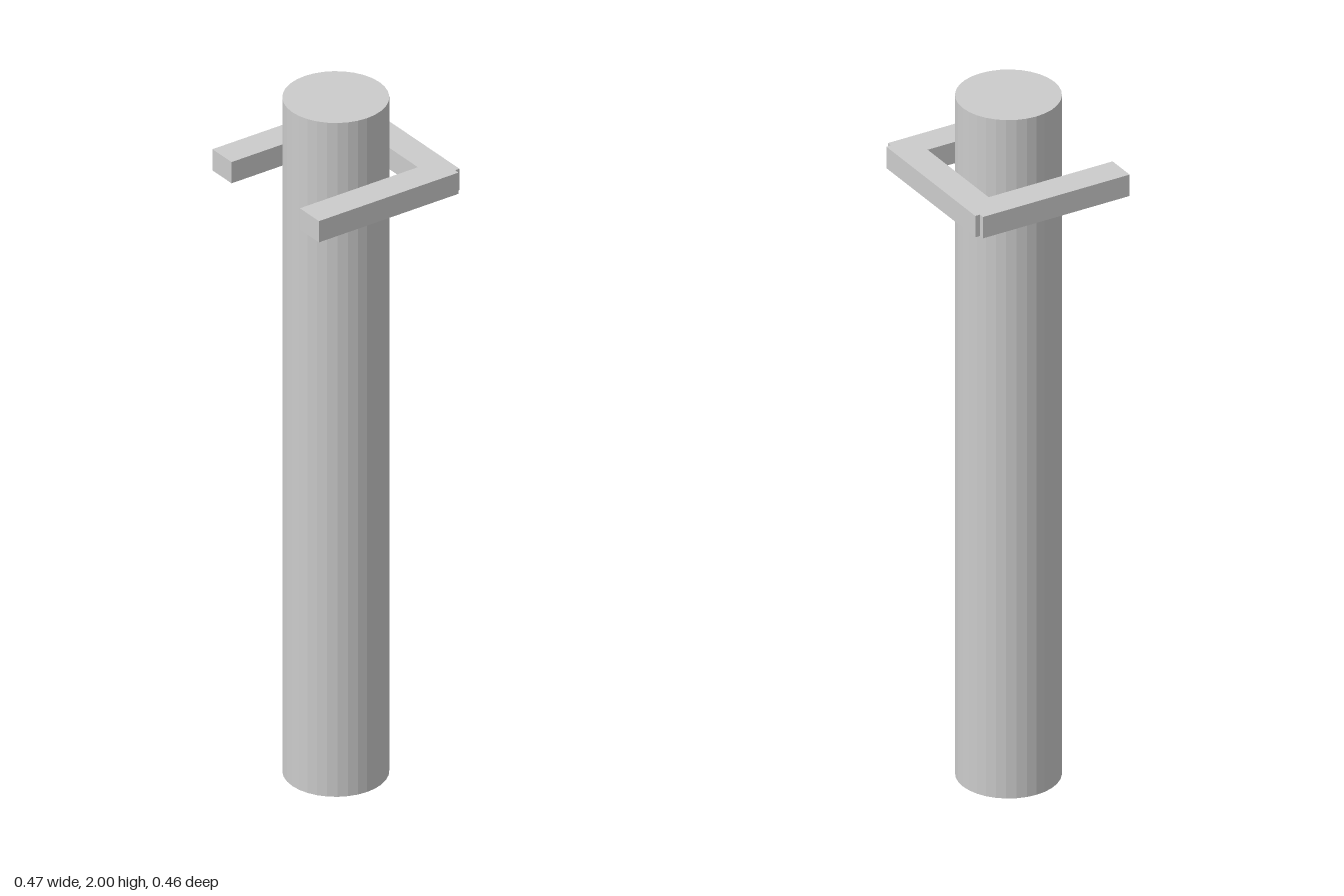
import * as THREE from 'three';

export function createModel() {
  const model = new THREE.Group();
  const material = new THREE.MeshStandardMaterial({ color: 0xcccccc, flatShading: true });

  // Tall round post
  const post = new THREE.Mesh(new THREE.CylinderGeometry(0.139, 0.139, 2, 32), material);
  post.name = 'post';
  post.position.set(0, 1, 0.005);
  model.add(post);

  // U-shaped bracket, open to the front: half outline (x, z), mirrored across x
  const half = [
    [0.152, -0.148], [0.152, 0.229], [0.237, 0.229],
    [0.237, -0.217], [0.222, -0.217], [0.222, -0.231],
  ];
  const outline = [...half, ...half.map(([x, z]) => [-x, z]).reverse()];
  const shape = new THREE.Shape(outline.map(([x, z]) => new THREE.Vector2(x, z)));
  const geometry = new THREE.ExtrudeGeometry(shape, { depth: 0.063, bevelEnabled: false });
  geometry.rotateX(Math.PI / 2); // lay flat, thickness hanging downwards
  const bracket = new THREE.Mesh(geometry, material);
  bracket.name = 'bracket';
  bracket.position.y = 1.811;
  model.add(bracket);

  return model;
}
